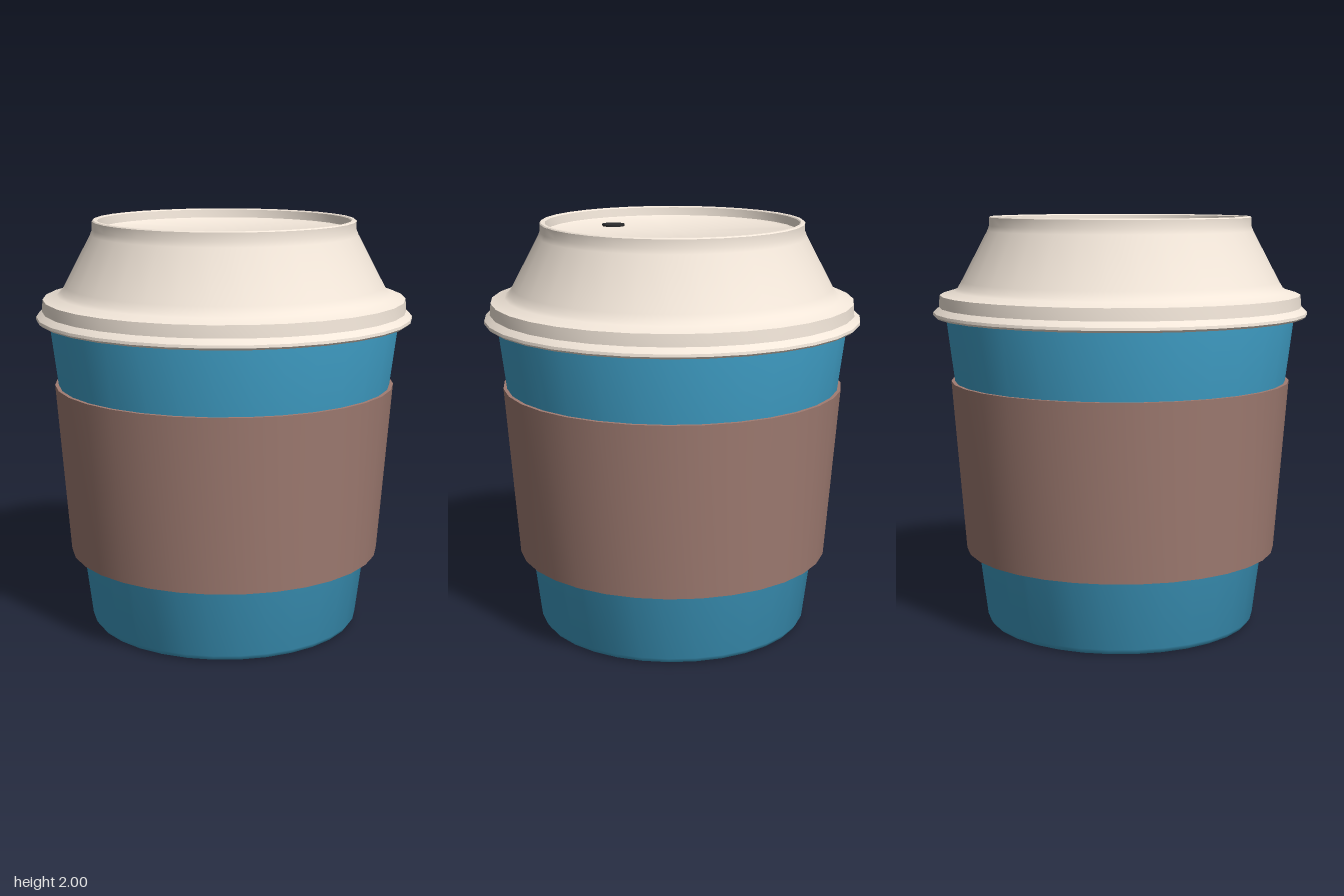
import * as THREE from 'three';
import { toCreasedNormals } from 'three/addons/utils/BufferGeometryUtils.js';

const SIDES = 32;

// Turned part from [radius, height] pairs; the profile runs up the outside
function turned(name, color, profile, crease = 0.6) {
  const points = profile.map(([r, y]) => new THREE.Vector2(r, y));
  const geometry = toCreasedNormals(new THREE.LatheGeometry(points, SIDES), crease);
  const mesh = new THREE.Mesh(geometry, new THREE.MeshStandardMaterial({ color }));
  mesh.name = name;
  return mesh;
}

export function createModel() {
  const group = new THREE.Group();
  group.name = 'travelCup';

  // Tapered cup with a recessed base and a bevelled foot
  group.add(turned('cupBody', 0x40a0c8, [
    [0, 0.08], [0.47, 0.08], [0.485, 0.06], [0.62, 0.003], [0.635, 0],
    [0.65, 0.007], [0.665, 0.03], [0.85, 1.53], [0.85, 1.56], [0, 1.56],
  ], 0.9));

  // Grip band around the middle, closed at both ends
  group.add(turned('sleeve', 0xa07c72, [
    [0.715, 0.37], [0.765, 0.37], [0.828, 1.207], [0.78, 1.207],
  ]));

  // Lid: stepped skirt, sloped shoulder, upright lip and shallow sunken top
  group.add(turned('lid', 0xf3e7da, [
    [0.84, 1.52], [0.9, 1.52], [0.911, 1.53], [0.909, 1.543], [0.882, 1.568],
    [0.877, 1.625], [0.81, 1.645], [0.79, 1.66], [0.772, 1.69],
    [0.645, 1.93], [0.635, 1.955], [0.635, 1.995], [0.63, 2], [0.615, 2],
    [0.61, 1.995], [0.605, 1.955], [0.595, 1.95], [0, 1.95],
  ]));

  // Sip hole, a dark disc towards the front of the lid
  const hole = new THREE.Mesh(
    new THREE.CylinderGeometry(0.055, 0.055, 0.015, 24),
    new THREE.MeshStandardMaterial({ color: 0x2b2b2d }),
  );
  hole.name = 'sipHole';
  hole.position.set(0, 1.952, 0.355);
  group.add(hole);

  return group;
}
